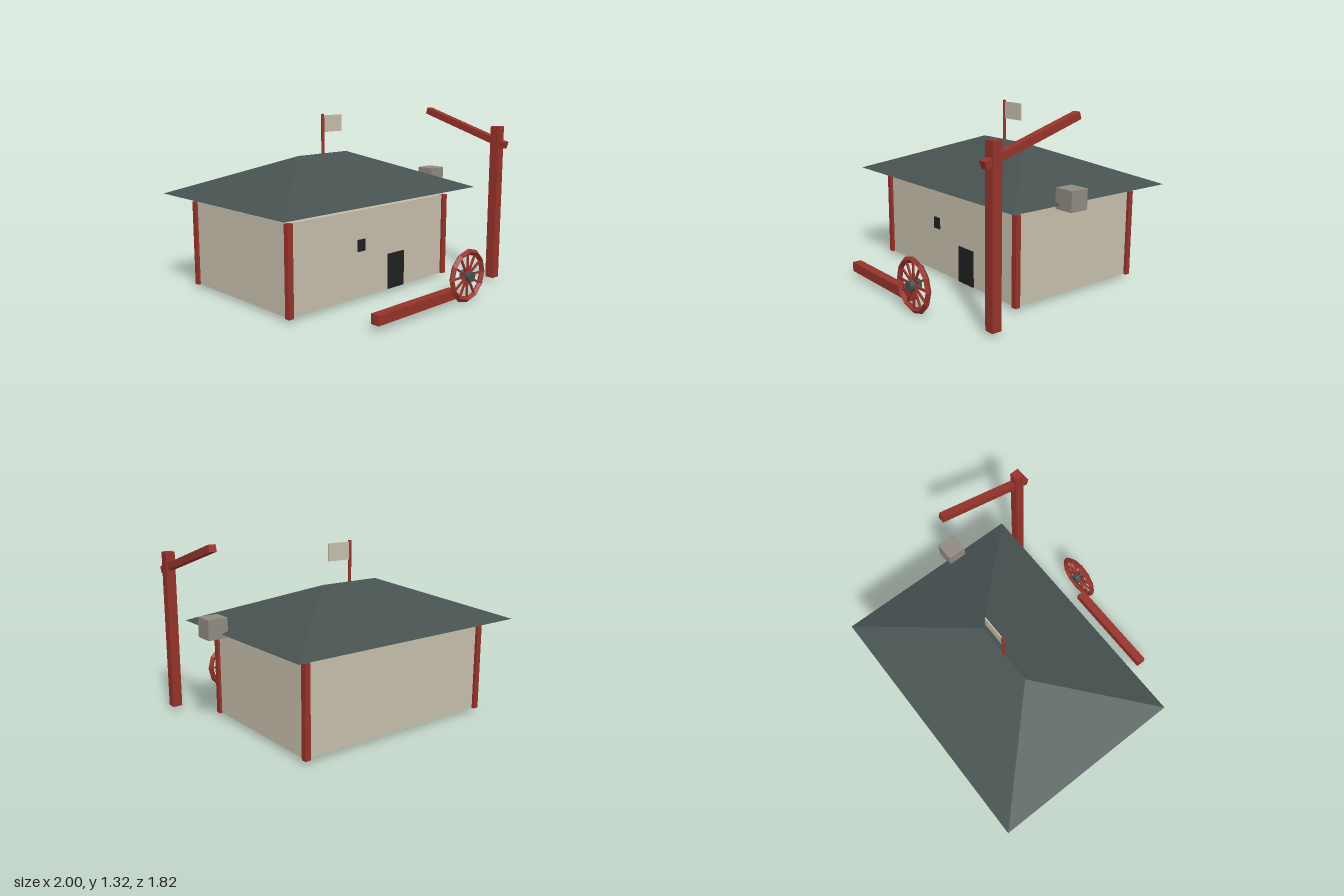
import * as THREE from 'three';

const mat = (name, color) => {
  const m = new THREE.MeshStandardMaterial({ color });
  m.name = name;
  return m;
};

export function createModel() {
  const red = mat('red timber', 0x96332a);
  const plaster = mat('plaster', 0xc6beac);
  const slate = mat('roof slate', 0x465150);
  const dark = mat('dark opening', 0x1e2021);
  const stone = mat('stone', 0x908a80);
  const model = new THREE.Group();
  model.name = 'farmYard';

  const add = (parent, name, geometry, material, x = 0, y = 0, z = 0) => {
    const mesh = new THREE.Mesh(geometry, material);
    mesh.name = name;
    mesh.position.set(x, y, z);
    parent.add(mesh);
    return mesh;
  };
  const box = (parent, name, material, w, h, d, x, y, z) =>
    add(parent, name, new THREE.BoxGeometry(w, h, d), material, x, y, z);

  // House, centred on its own middle
  const house = new THREE.Group();
  house.name = 'house';
  house.position.set(-0.05, 0, -0.205);
  model.add(house);
  box(house, 'walls', plaster, 1.56, 0.63, 1.07, 0, 0.345, 0);
  for (const sx of [-1, 1]) {
    for (const sz of [-1, 1]) {
      box(house, 'cornerPost', red, 0.042, 0.632, 0.04, sx * 0.779, 0.345, sz * 0.536);
    }
  }
  box(house, 'door', dark, 0.17, 0.265, 0.009, 0.235, 0.163, 0.539);
  box(house, 'window', dark, 0.07, 0.085, 0.009, -0.125, 0.408, 0.539);

  // Hipped roof: four eave corners, two ridge ends, flat underside
  const roof = new THREE.BufferGeometry();
  const [w, d, r, low, high] = [0.95, 0.705, 0.24, 0.72, 1];
  roof.setAttribute('position', new THREE.Float32BufferAttribute([
    -w, low, d, w, low, d, w, low, -d, -w, low, -d, -r, high, 0, r, high, 0,
  ], 3));
  roof.setIndex([
    0, 1, 5, 0, 5, 4, // front
    2, 3, 4, 2, 4, 5, // back
    1, 2, 5, 3, 0, 4, // ends
    0, 3, 2, 0, 2, 1, // underside
  ]);
  const roofFlat = roof.toNonIndexed();
  roofFlat.computeVertexNormals();
  add(house, 'roof', roofFlat, slate);

  // Flag on the ridge
  add(house, 'flagPole', new THREE.CylinderGeometry(0.012, 0.012, 0.305, 6).toNonIndexed(), red, 0, 1.143, 0)
    .geometry.computeVertexNormals();
  box(house, 'flag', plaster, 0.18, 0.125, 0.008, 0.1, 1.222, 0);

  // Well sweep: upright, tilted arm and counterweight
  const sweep = new THREE.Group();
  sweep.name = 'wellSweep';
  sweep.position.x = 0.925;
  model.add(sweep);
  box(sweep, 'upright', red, 0.07, 1.17, 0.07, 0, 0.615, 0.675);
  box(sweep, 'sweepArm', red, 0.055, 0.05, 0.78, 0, 1.177, 0.38).rotation.x = 0.3;
  box(sweep, 'counterweight', stone, 0.145, 0.14, 0.14, 0, 0.76, 0.04);

  // Timber lying in front
  box(model, 'timber', red, 0.78, 0.07, 0.066, -0.15, 0.078, 0.818);

  // Spoked cart wheel
  const wheel = new THREE.Group();
  wheel.name = 'cartWheel';
  wheel.position.set(0.34, 0.196, 0.87);
  model.add(wheel);
  const rim = new THREE.TorusGeometry(0.173, 0.022, 4, 12).toNonIndexed();
  rim.computeVertexNormals();
  add(wheel, 'rim', rim, red);
  const spokes = 12;
  for (let i = 0; i < spokes; i++) {
    const a = (i / spokes) * Math.PI * 2;
    const spoke = box(wheel, 'spoke', red, 0.14, 0.013, 0.013, Math.cos(a) * 0.095, Math.sin(a) * 0.095, 0);
    spoke.rotation.z = a;
  }
  const hub = new THREE.CylinderGeometry(0.037, 0.037, 0.085, 10).toNonIndexed();
  hub.computeVertexNormals();
  add(wheel, 'hub', hub, slate).rotation.x = Math.PI / 2;

  return model;
}
